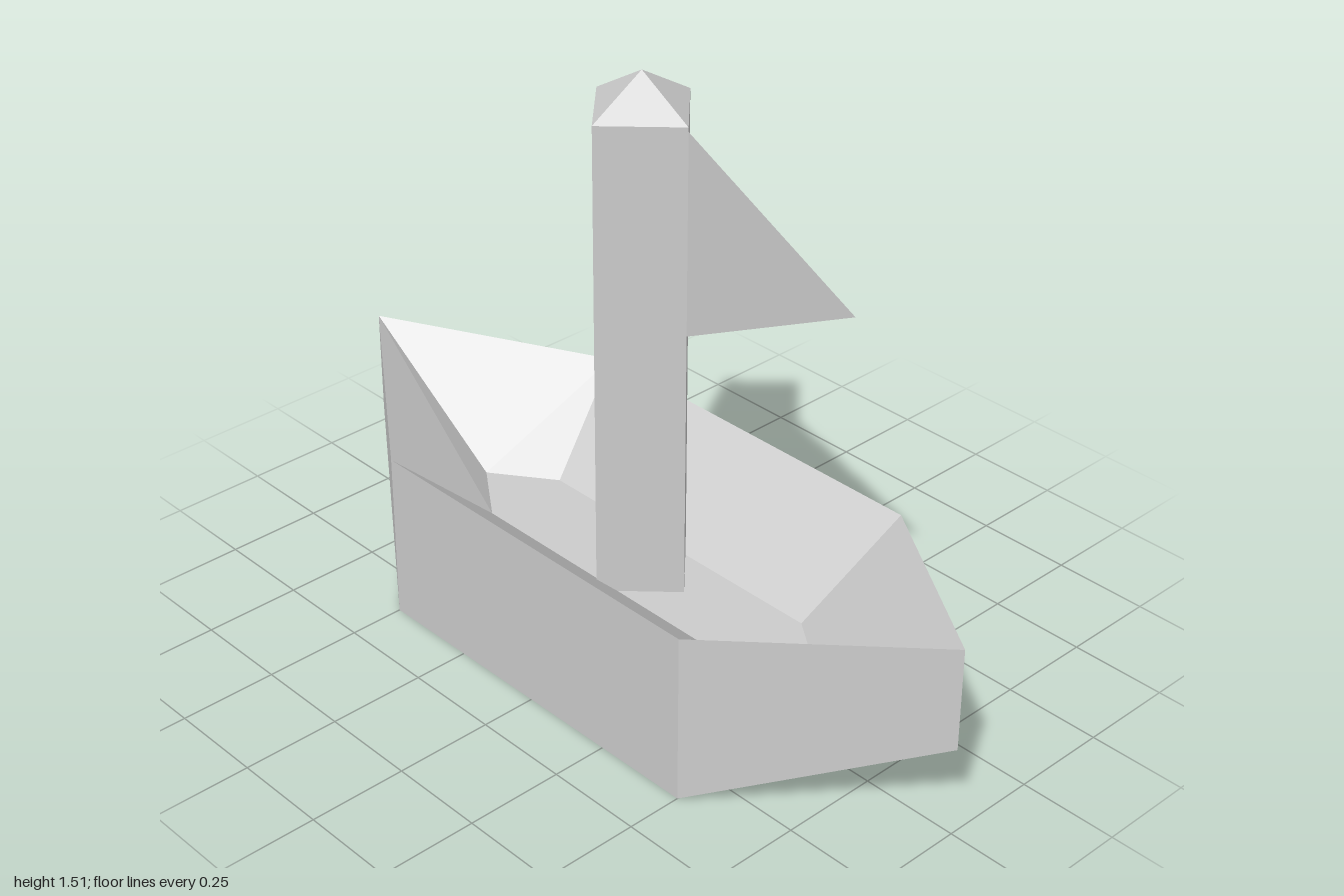
import * as THREE from 'three';

const stone = new THREE.MeshStandardMaterial({ color: 0xcccccc });
stone.name = 'light grey';
stone.flatShading = true;
const cloth = stone.clone();
cloth.name = 'light grey cloth';
cloth.side = THREE.DoubleSide;

// Six-sided boat outline: bow, two left corners, stern, two right corners
function ring(halfWidth, sideY, sideZ, tipY, tipZ) {
  return [
    [0, tipY, tipZ], [halfWidth, sideY, sideZ], [halfWidth, sideY, -sideZ],
    [0, tipY, -tipZ], [-halfWidth, sideY, -sideZ], [-halfWidth, sideY, sideZ],
  ];
}

// Bands between successive rings, closed at both ends
function hullGeometry(rings) {
  const pos = [];
  const tri = (...pts) => pts.forEach((p) => pos.push(...p));
  for (let r = 0; r < rings.length - 1; r++) {
    const a = rings[r], b = rings[r + 1];
    for (let i = 0; i < 6; i++) {
      const j = (i + 1) % 6;
      tri(a[i], a[j], b[j]);
      tri(a[i], b[j], b[i]);
    }
  }
  const bottom = rings[0], floor = rings[rings.length - 1];
  for (const [i, j, k] of [[5, 0, 1], [2, 3, 4], [1, 2, 4], [1, 4, 5]]) {
    tri(bottom[k], bottom[j], bottom[i]);
    tri(floor[i], floor[j], floor[k]);
  }
  const g = new THREE.BufferGeometry();
  g.setAttribute('position', new THREE.Float32BufferAttribute(pos, 3));
  g.computeVertexNormals();
  return g;
}

export function createModel() {
  const model = new THREE.Group();
  model.name = 'boat';
  const add = (name, geometry, material = stone) => {
    const mesh = new THREE.Mesh(geometry, material);
    mesh.name = name;
    model.add(mesh);
    return mesh;
  };

  // Hull: underside, rim, then inner floor
  add('hull', hullGeometry([
    ring(0.358, 0, 0.5, 0.233, 1),
    ring(0.358, 0.44, 0.5, 0.5, 1),
    ring(0.112, 0.213, 0.425, 0.213, 0.58),
  ]));

  // Square mast turned on its corner, with a pyramid cap
  const radius = 0.147, mastBase = 0.213, mastTop = 1.422, peak = 1.51;
  add('mast', new THREE.CylinderGeometry(radius, radius, mastTop - mastBase, 4, 1, true))
    .position.y = (mastTop + mastBase) / 2;
  add('mastCap', new THREE.ConeGeometry(radius, peak - mastTop, 4, 1, true))
    .position.y = (peak + mastTop) / 2;

  // Flat pennant pointing forward from the mast
  const pennant = new THREE.Shape([
    new THREE.Vector2(-0.14, 0.905),
    new THREE.Vector2(-0.14, 1.415),
    new THREE.Vector2(-0.648, 1.16),
  ]);
  add('pennant', new THREE.ShapeGeometry(pennant).rotateY(Math.PI / 2), cloth);

  return model;
}
